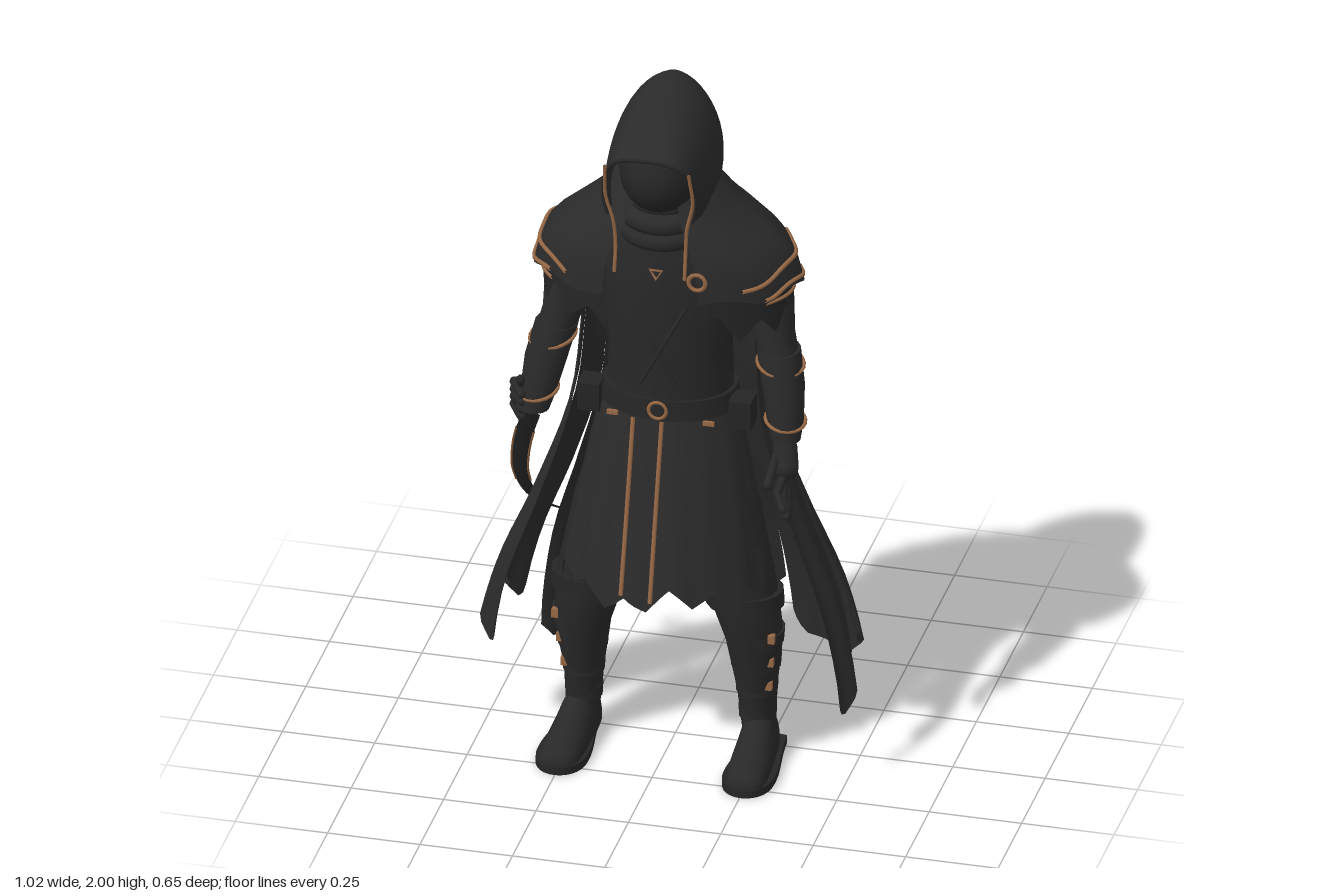
import * as THREE from 'three';
import { mergeVertices, toCreasedNormals } from 'three/addons/utils/BufferGeometryUtils.js';

const mat = (name, color) => new THREE.MeshStandardMaterial({ name, color, side: THREE.DoubleSide });
const V = (p) => new THREE.Vector3(...p);
const PI = Math.PI;
const lerp = THREE.MathUtils.lerp;

// Smooth interpolation through rows of numbers, t from 0 to 1
function sample(rows, t) {
  const n = rows.length - 1, f = Math.min(Math.max(t, 0), 1) * n;
  const i = Math.min(Math.floor(f), n - 1), k = f - i;
  const [a, b, c, d] = [rows[Math.max(i - 1, 0)], rows[i], rows[i + 1], rows[Math.min(i + 2, n)]];
  return b.map((_, j) => b[j] + 0.5 * k * (c[j] - a[j] + k * (2 * a[j] - 5 * b[j] + 4 * c[j] - d[j] + k * (3 * (b[j] - c[j]) + d[j] - a[j]))));
}

// Surface from a rule f(u, v) giving a point
function surface(f, nu, nv, crease = 0.7) {
  const pos = [], idx = [], w = nu + 1;
  for (let j = 0; j <= nv; j++) for (let i = 0; i <= nu; i++) pos.push(...f(i / nu, j / nv));
  for (let j = 0; j < nv; j++) for (let i = 0; i < nu; i++) {
    const a = j * w + i;
    idx.push(a, a + 1, a + w, a + 1, a + w + 1, a + w);
  }
  const g = new THREE.BufferGeometry();
  g.setAttribute('position', new THREE.Float32BufferAttribute(pos, 3));
  g.setIndex(idx);
  return toCreasedNormals(mergeVertices(g), crease);
}

// Closed stack of horizontal ellipses [x, y, z, rx, rz], listed from the top down
function loft(rings, seg = 16) {
  const end = (r) => [r[0], r[1], r[2], 0, 0];
  const all = [end(rings[0]), ...rings, end(rings.at(-1))];
  return surface((u, v) => {
    const [x, y, z, rx, rz] = all[Math.round(v * (all.length - 1))], a = u * 2 * PI;
    return [x + rx * Math.sin(a), y, z - rz * Math.cos(a)];
  }, seg, all.length - 1);
}

// Point on an ellipse; angle 0 is the back, PI the front
const around = (a, y, rx, front, back) =>
  [rx * Math.sin(a), y, (front + back) / 2 - (front - back) / 2 * Math.cos(a)];
const zigzag = (t) => Math.abs(((t % 1) + 1) % 1 - 0.5) * 2;

export function createModel() {
  const cloth = mat('black cloth', 0x2a2a2a), leather = mat('black leather', 0x282828);
  const dark = mat('deep black', 0x252525), copper = mat('copper trim', 0x966845);
  const model = new THREE.Group();
  const add = (name, geo, m, p) => {
    const mesh = new THREE.Mesh(geo, m);
    mesh.name = name;
    if (p) mesh.position.set(...p);
    model.add(mesh);
    return mesh;
  };
  const cord = (name, pts, r, m) =>
    add(name, new THREE.TubeGeometry(new THREE.CatmullRomCurve3(pts.map(V)), 32, r, 6), m);
  const rod = (name, p, q, r, m) => {
    const a = V(p), d = V(q).sub(a), len = d.length();
    const mesh = add(name, new THREE.CapsuleGeometry(r, len, 4, 8), m);
    mesh.position.copy(a).addScaledVector(d, 0.5);
    mesh.quaternion.setFromUnitVectors(new THREE.Vector3(0, 1, 0), d.normalize());
  };

  // Torso, crossed chest straps, belt
  add('torso', loft([[0, 1.7, 0.1, 0.07, 0.07], [0, 1.62, 0.07, 0.13, 0.1], [0, 1.52, 0.05, 0.2, 0.14],
    [0, 1.4, 0.055, 0.19, 0.14], [0, 1.22, 0.05, 0.165, 0.135], [0, 1.04, 0.05, 0.17, 0.125]], 24), leather);
  for (const s of [1, -1]) {
    cord('chestStrap', [0, 1, 2, 3, 4, 5].map((i) => {
      const x = lerp(0.12, -0.05, i / 5);
      return [s * x, lerp(1.47, 1.14, i / 5), 0.053 + 0.136 * Math.sqrt(1 - (x / 0.18) ** 2)];
    }), 0.006, leather);
  }
  add('belt', loft([[0, 1.095, 0.05, 0.18, 0.136], [0, 1.04, 0.05, 0.188, 0.142]], 28), dark);
  add('beltBuckle', new THREE.TorusGeometry(0.024, 0.005, 6, 16), copper, [0, 1.07, 0.193]);
  for (const s of [1, -1]) {
    add('beltPouch', new THREE.BoxGeometry(0.06, 0.08, 0.07), dark, [s * 0.205, 1.045, 0.09]);
    add('pouchClasp', new THREE.BoxGeometry(0.03, 0.012, 0.009), copper, [s * 0.13, 1.03, 0.158]);
  }
  add('pendant', new THREE.TorusGeometry(0.018, 0.005, 5, 3), copper, [0, 1.49, 0.208]).rotation.z = -PI / 2;

  // Flared skirt with ragged hem; the trims edge the overlapping front panel
  const skirtRow = (t) => [lerp(0.175, 0.275, t ** 0.8), lerp(0.175, 0.315, t), lerp(-0.07, -0.12, t)];
  const skirt = (a, t) => {
    const hem = 0.53 + 0.05 * zigzag(a * 14 / (2 * PI) + 0.5) + 0.02 * Math.sin(a * 5);
    const [rx, f, b] = skirtRow(t), pleat = 1 + 0.015 * t * Math.sin(a * 12);
    return around(a, lerp(1.06, hem, t), rx * pleat, f * pleat, b);
  };
  add('skirt', surface((u, v) => skirt(u * 2 * PI, v), 112, 10), cloth);
  for (const x of [-0.07, 0.01]) {
    cord('skirtTrim', [0.05, 0.3, 0.5, 0.7, 0.97].map((t) => {
      const p = skirt(PI - Math.asin(x / skirtRow(t)[0]), t);
      return [p[0], p[1], p[2] + 0.004];
    }), 0.006, copper);
  }

  // Shoulder mantle over a ragged under layer, both trimmed at the shoulders
  const mantleRows = [[1.75, 0.125, 0.2, -0.03], [1.67, 0.19, 0.235, -0.075], [1.615, 0.25, 0.26, -0.11],
    [1.54, 0.33, 0.28, -0.135], [1.445, 0.36, 0.288, -0.145]];
  const mantle = (a, t) => {
    const [y, rx, f, b] = sample(mantleRows, t), fold = 1 + 0.015 * t * Math.sin(a * 9);
    return around(a, y + 0.01 * t ** 4 * Math.sin(a * 8), rx * fold, f, b * fold);
  };
  const underMantle = (a, t) => {
    const hem = 1.33 + 0.07 * zigzag(a * 2.3) + 0.02 * Math.sin(a * 5);
    return around(a, lerp(1.52, hem, t), 0.335, 0.27, -0.13);
  };
  const arc = 2.77;
  add('mantle', surface((u, v) => mantle(lerp(-arc, arc, u), v), 56, 12), cloth);
  add('raggedUnderMantle', surface((u, v) => underMantle(lerp(-arc, arc, u), v), 90, 4), dark);
  for (const s of [1, -1]) {
    // Upper trim dips towards the front, lower trim follows the hem
    for (const [from, to, high, low] of [[1.05, 2.4, 0.77, 0.9], [1.3, 2.2, 0.93, 0.97]]) {
      cord('shoulderTrim', Array.from({ length: 12 }, (_, i) => {
        const k = i / 11, p = mantle(s * lerp(from, to, k), lerp(high, low, k * k));
        return [p[0] * 1.005, p[1], p[2] + 0.002];
      }), 0.006, copper);
    }
    cord('sleeveTrim', Array.from({ length: 8 }, (_, i) => {
      const p = underMantle(s * lerp(1.5, 2.1, i / 7), 0);
      return [p[0] * 1.005, 1.42, p[2] + 0.002];
    }), 0.005, copper);
  }

  // Long cape: one shell above, split into broad ragged strips that flare below
  const capeRows = [[0.21, 0.13], [0.24, 0.13], [0.27, 0.185], [0.36, 0.265], [0.465, 0.345], [0.515, 0.37]];
  const tips = [0.28, 0.28, 0.13, 0.34, 0.21, 0.13, 0.24, 0.19];
  tips.forEach((tip, i) => add('capeStrip', surface((u, v) => {
    const gap = 1.02 - 0.4 * Math.max(0, v - 0.55), k = u * 2 - 1;
    const a = (-1 + (2 * i + 1 + k * gap) / 8) * lerp(1.8, 1.98, v);
    const rag = v ** 4 * (0.07 * Math.abs(k - (i % 2 ? 0.6 : -0.6)) + 0.02 * zigzag(u * 2));
    const y = lerp(1.56, tip, v) + rag;
    const [rx, rz] = sample(capeRows, (1.55 - y) / 1.35);
    const pleat = 1 + v * v * (0.03 * Math.cos(k * PI * 1.5) + 0.03 * k);
    return [rx * pleat * Math.sin(a), y, 0.04 - rz * pleat * Math.cos(a)];
  }, 12, 18), cloth));

  // Hood: arches from the brow to the back [top z, top y, bottom z, bottom y, half width, squareness]
  const hoodRows = [[0.32, 1.885, 0.272, 1.69, 0.125, 0.6], [0.2, 1.95, 0.17, 1.67, 0.14, 0.85],
    [0.07, 1.995, 0.09, 1.66, 0.145, 1.1], [0, 1.99, 0.02, 1.67, 0.135, 1.15],
    [-0.04, 1.93, -0.03, 1.69, 0.108, 1.1], [-0.058, 1.86, -0.05, 1.73, 0.065, 1], [-0.062, 1.79, -0.062, 1.79, 0, 1]];
  const hood = (u, v) => {
    const [zt, yt, zb, yb, w, e] = sample(hoodRows, v), m = 2.1, a = lerp(m, -m, u);
    const h = (Math.cos(a) - Math.cos(m)) / (1 - Math.cos(m)), s = Math.sin(a);
    return [w * Math.sign(s) * Math.abs(s) ** e, lerp(yb, yt, h), lerp(zb, zt, h ** 2)];
  };
  add('hood', surface(hood, 28, 18), cloth);
  add('hoodRim', new THREE.TubeGeometry(new THREE.CatmullRomCurve3(
    Array.from({ length: 21 }, (_, i) => V(hood(i / 20, 0)))), 60, 0.005, 6), dark);
  add('maskedFace', new THREE.SphereGeometry(1, 24, 16), dark, [0, 1.775, 0.135]).scale.set(0.113, 0.12, 0.138);

  // Neck scarf
  [[1.69, 0.085, 0.022], [1.65, 0.1, 0.03], [1.6, 0.105, 0.025]].forEach(([y, r, t], i) => {
    const scarf = add('scarfFold', new THREE.TorusGeometry(r, t, 8, 28), i % 2 ? cloth : leather, [0, y, 0.11]);
    scarf.rotation.x = PI / 2 + 0.12;
  });
  for (const s of [1, -1]) {
    cord('hoodCord', [[s * 0.113, 1.85, 0.305], [s * 0.118, 1.75, 0.281], [s * 0.1, 1.67, 0.27],
      [s * 0.095, 1.6, 0.265], [s * 0.095, 1.52, 0.277]], 0.005, copper);
  }
  add('mantleBrooch', new THREE.TorusGeometry(0.023, 0.006, 6, 14), copper, [0.13, 1.52, 0.283]);

  for (const s of [1, -1]) {
    // Arms with banded gauntlets
    add('upperArm', loft([[s * 0.25, 1.53, 0.06, 0.055, 0.07], [s * 0.268, 1.42, 0.06, 0.065, 0.075],
      [s * 0.285, 1.28, 0.07, 0.055, 0.06], [s * 0.31, 1.2, 0.09, 0.05, 0.055]]), cloth);
    add('gauntlet', loft([[s * 0.3, 1.24, 0.08, 0.058, 0.062], [s * 0.321, 1.15, 0.115, 0.057, 0.06],
      [s * 0.335, 1.06, 0.145, 0.048, 0.052], [s * 0.34, 1.02, 0.165, 0.04, 0.04]]), leather);
    [[0.308, 1.205, 0.093, 0.062], [0.334, 1.065, 0.144, 0.053]].forEach(([x, y, z, r]) => {
      const band = add('gauntletTrim', new THREE.TorusGeometry(r, 0.005, 6, 20), copper, [s * x, y, z]);
      band.rotation.set(PI / 2 + 0.2, s * -0.15, 0);
    });

    // Legs, wraps, knee cuff and studs
    add('leg', loft([[s * 0.09, 1.0, 0.06, 0.09, 0.1], [s * 0.15, 0.75, 0.08, 0.1, 0.1],
      [s * 0.205, 0.5, 0.085, 0.095, 0.085], [s * 0.232, 0.36, 0.07, 0.076, 0.086],
      [s * 0.234, 0.2, 0.05, 0.053, 0.06], [s * 0.238, 0.08, 0.045, 0.045, 0.05]]), leather);
    add('kneeCuff', loft([[s * 0.205, 0.515, 0.085, 0.108, 0.09], [s * 0.21, 0.47, 0.083, 0.105, 0.094]]), dark);
    for (const [y, r, z] of [[0.13, 0.05, 0.048], [0.21, 0.057, 0.052], [0.29, 0.068, 0.06], [0.37, 0.079, 0.071]]) {
      const x = s * 0.234;
      add('legWrap', loft([[x, y + 0.02, z, r, r * 1.06], [x, y - 0.015, z, r * 0.97, r * 1.05]]), leather);
      if (y > 0.2) add('legStud', new THREE.BoxGeometry(0.018, 0.024, 0.018), copper, [x + s * r * 0.74, y + 0.02, z + r * 0.72]);
    }

    // Boot: arches along z [z, half width, height] on a wider flat sole
    const foot = [[-0.015, 0.03, 0.08], [0.0, 0.042, 0.12], [0.06, 0.05, 0.14], [0.12, 0.053, 0.115],
      [0.2, 0.056, 0.082], [0.27, 0.05, 0.06], [0.295, 0.028, 0.04], [0.298, 0, 0.02]];
    add('bootUpper', surface((u, v) => {
      const [z, w, h] = sample(foot, v), a = u * PI;
      return [s * (0.24 + 0.05 * z) - w * Math.cos(a), 0.02 + (h - 0.02) * Math.sin(a) ** 0.8, z];
    }, 14, 18), leather);
    const sole = new THREE.Shape();
    sole.moveTo(-0.045, 0.02);
    sole.quadraticCurveTo(0, 0.03, 0.045, 0.02);
    sole.bezierCurveTo(0.05, -0.08, 0.075, -0.15, 0.067, -0.23);
    sole.bezierCurveTo(0.055, -0.325, -0.055, -0.325, -0.067, -0.23);
    sole.bezierCurveTo(-0.075, -0.15, -0.05, -0.08, -0.045, 0.02);
    const mesh = add('bootSole', new THREE.ExtrudeGeometry(sole, { depth: 0.022, bevelEnabled: false }), dark, [s * 0.252, 0, 0]);
    mesh.rotation.x = -PI / 2;
  }

  // Open left hand
  rod('leftPalm', [0.342, 1.0, 0.18], [0.352, 0.955, 0.205], 0.034, leather);
  [[0.34, 0.9, 0.255, 0.365, 0.875, 0.29], [0.352, 0.885, 0.24, 0.37, 0.845, 0.27],
    [0.36, 0.88, 0.225, 0.368, 0.83, 0.25], [0.36, 0.88, 0.205, 0.362, 0.835, 0.22]].forEach(([x, y, z, a, b, c], i) => {
    rod('leftFinger', [0.35, 0.945, 0.22 - i * 0.012], [x, y, z], 0.012, leather);
    rod('leftFinger', [x, y, z], [a, b, c], 0.01, leather);
  });
  rod('leftThumb', [0.325, 0.985, 0.21], [0.318, 0.93, 0.27], 0.012, leather);

  // Right fist holding a curved blade that sweeps back
  rod('rightPalm', [-0.358, 1.02, 0.15], [-0.372, 1.04, 0.15], 0.036, leather);
  for (let i = 0; i < 4; i++) {
    rod('rightFinger', [-0.4, 1.075 - i * 0.022, 0.14], [-0.37, 1.065 - i * 0.022, 0.185], 0.013, leather);
  }
  rod('bladeHandle', [-0.375, 1.1, 0.17], [-0.365, 0.95, 0.1], 0.013, dark);
  const path = new THREE.CatmullRomCurve3([[-0.362, 0.97, 0.11], [-0.41, 0.83, 0.02], [-0.435, 0.68, -0.07],
    [-0.41, 0.55, -0.17], [-0.31, 0.46, -0.28]].map(V));
  const blade = (a, v) => {
    const t = path.getTangent(v), thin = new THREE.Vector3(1, 0.25, 0.2).cross(t).normalize();
    const wide = thin.clone().cross(t), w = 0.024 * (1 - v ** 3);
    return path.getPoint(v).addScaledVector(wide, w * Math.cos(a)).addScaledVector(thin, w * 0.25 * Math.sin(a)).toArray();
  };
  add('curvedBlade', surface((u, v) => blade(u * 2 * PI, v), 4, 28), leather);
  for (const a of [0, PI]) {
    cord('bladeTrim', [0.15, 0.25, 0.35, 0.45, 0.55].map((v) => blade(a, v)), 0.003, copper);
  }

  return model;
}
